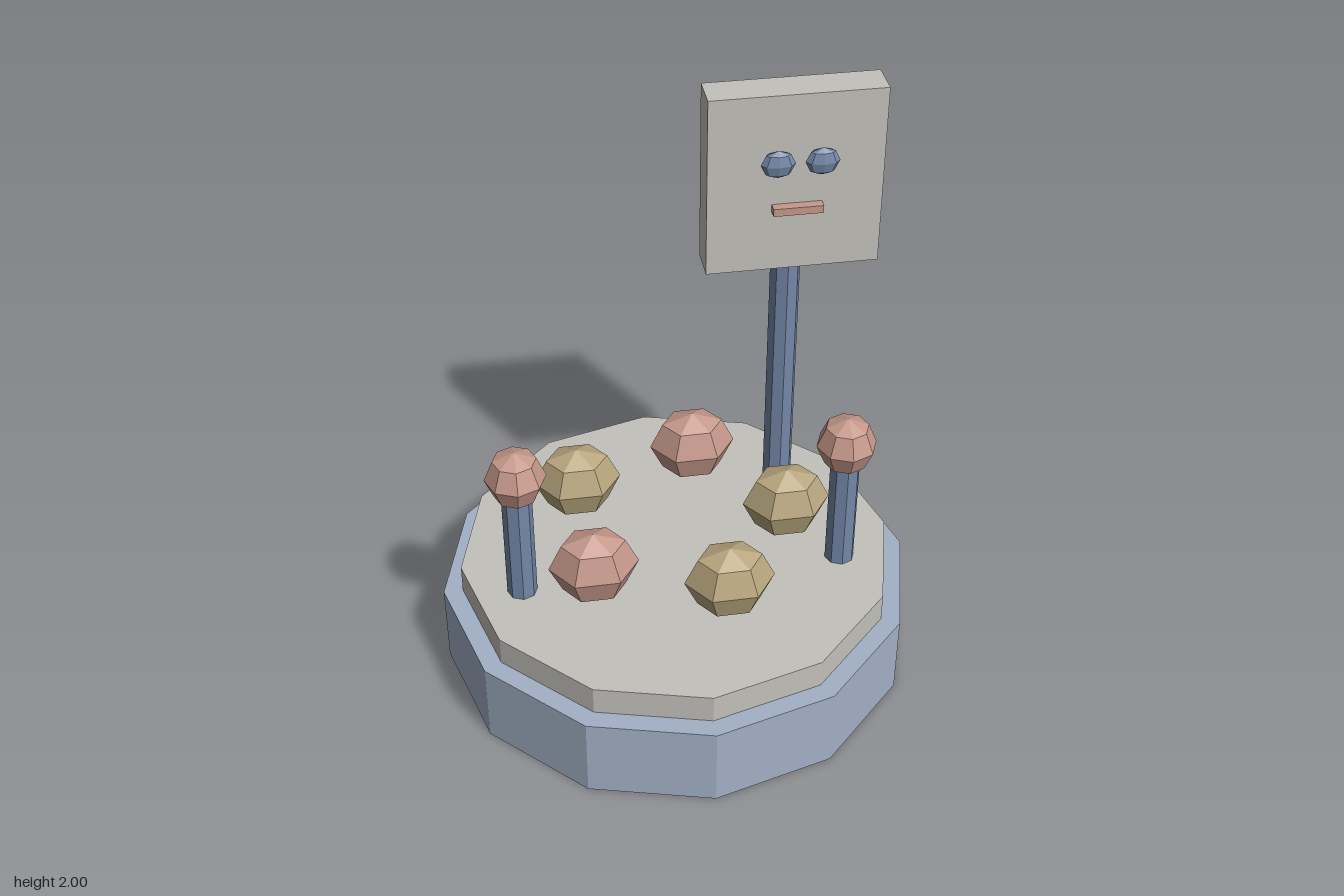
import * as THREE from 'three';

export function createModel() {
  const model = new THREE.Group();
  model.name = 'model';

  const material = (name, color) => {
    const m = new THREE.MeshStandardMaterial({ color, flatShading: true });
    m.name = name;
    return m;
  };
  const paleBlue = material('pale blue', 0xa3b1c6);
  const blue = material('slate blue', 0x7488a8);
  const stone = material('stone grey', 0xc3c1bb);
  const pink = material('dusty pink', 0xc6988b);
  const gold = material('muted gold', 0xb8a67e);

  const add = (name, geometry, mat, x, y, z) => {
    const mesh = new THREE.Mesh(geometry, mat);
    mesh.name = name;
    mesh.position.set(x, y, z);
    model.add(mesh);
    return mesh;
  };
  // Upright prism standing from y0 to y1
  const column = (name, radius, sides, y0, y1, mat, x = 0, z = 0) =>
    add(name, new THREE.CylinderGeometry(radius, radius, y1 - y0, sides), mat, x, (y0 + y1) / 2, z);
  // Faceted ball with its own radius on each axis
  const ball = (name, sides, rx, ry, rz, mat, x, y, z) =>
    add(name, new THREE.SphereGeometry(1, sides, 4).scale(rx, ry, rz), mat, x, y, z);

  // Two-step twelve-sided base
  column('base', 0.8, 12, 0, 0.29, paleBlue);
  column('deck', 0.735, 12, 0.29, 0.39, stone);

  // Ring of five boulders in alternating colours
  for (let i = 0; i < 5; i++) {
    const a = (i * Math.PI * 2) / 5;
    ball('boulder', 6, 0.149, 0.13, 0.118, i % 2 ? pink : gold,
      0.38 * Math.cos(a), 0.54, -0.38 * Math.sin(a));
  }

  // Pair of posts with round caps
  for (const side of [-1, 1]) {
    column('post', 0.05, 8, 0.39, 0.8, blue, side * 0.54, 0.14);
    ball('postCap', 8, 0.1, 0.1, 0.1, pink, side * 0.54, 0.87, 0.14);
  }

  // Tall pole with a face board
  column('signPole', 0.05, 8, 0.39, 1.63, blue, 0.4, -0.24);
  add('signBoard', new THREE.BoxGeometry(0.56, 0.612, 0.12), stone, 0.4, 1.694, -0.2);
  for (const side of [-1, 1]) {
    ball('eye', 8, 0.055, 0.047, 0.025, blue, 0.408 + side * 0.07, 1.776, -0.122);
  }
  add('mouth', new THREE.BoxGeometry(0.16, 0.026, 0.032), pink, 0.406, 1.612, -0.124);

  return model;
}
